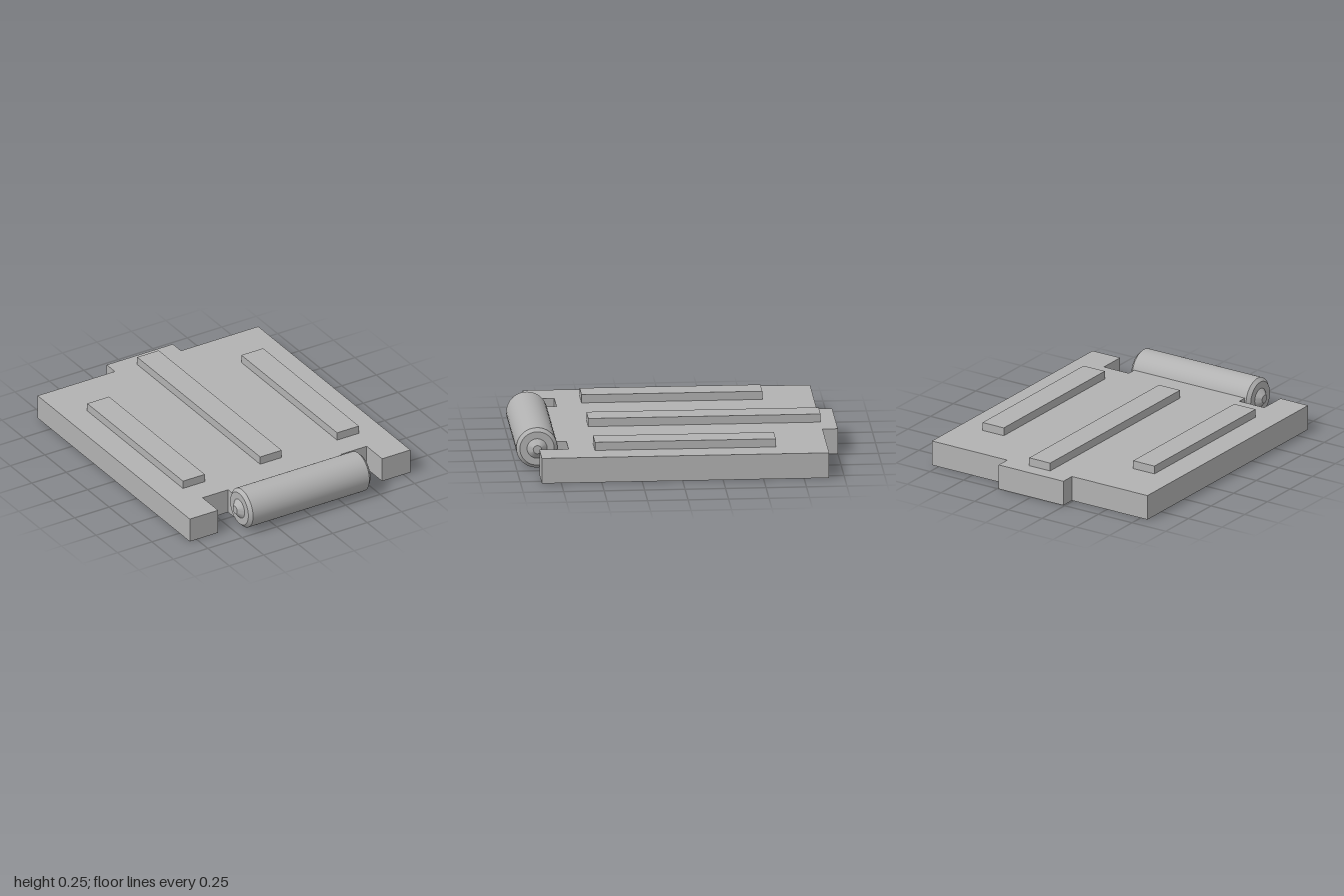
import * as THREE from 'three';
import { toCreasedNormals } from 'three/addons/utils/BufferGeometryUtils.js';

export function createModel() {
  const model = new THREE.Group();
  model.name = 'rollerPlate';
  const grey = new THREE.MeshStandardMaterial({ color: 0xb2b2b2 });
  grey.name = 'plain grey';

  const add = (name, geometry, x = 0, y = 0, z = 0) => {
    const mesh = new THREE.Mesh(geometry, grey);
    mesh.name = name;
    mesh.position.set(x, y, z);
    model.add(mesh);
    return mesh;
  };
  // Box given by its x, y and z limits
  const block = (name, [x0, x1], [y0, y1], [z0, z1]) =>
    add(name, new THREE.BoxGeometry(x1 - x0, y1 - y0, z1 - z0),
      (x0 + x1) / 2, (y0 + y1) / 2, (z0 + z1) / 2);

  // Plate outline: right half as [x, z], mirrored for the other half
  const thickness = 0.16;
  const half = [
    [0.24, -1], [0.24, -0.905], [0.8, -0.905], [0.8, 0.87],
    [0.595, 0.87], [0.595, 0.69], [0.41, 0.69], [0.41, 0.87],
  ];
  const outline = [...half, ...half.map(([x, z]) => [-x, z]).reverse()];
  const toPoints = (list) => list.map(([x, z]) => new THREE.Vector2(x, -z));
  const shape = new THREE.Shape(toPoints(outline));

  // Rectangular pocket in the underside, closed on top by a lid
  const px = 0.15, pz0 = -0.7, pz1 = -0.44, pocketDepth = 0.105;
  shape.holes.push(new THREE.Path(toPoints([[-px, pz0], [px, pz0], [px, pz1], [-px, pz1]])));
  const plate = new THREE.ExtrudeGeometry(shape, { depth: thickness, bevelEnabled: false });
  plate.rotateX(-Math.PI / 2);
  add('plate', plate);
  block('pocketLid', [-px, px], [pocketDepth, thickness], [pz0, pz1]);

  // Raised rails on top
  const railY = [thickness, 0.212];
  block('centreRail', [-0.078, 0.078], railY, [-0.905, 0.53]);
  block('leftRail', [0.48, 0.638], railY, [-0.587, 0.53]);
  block('rightRail', [-0.638, -0.48], railY, [-0.587, 0.53]);

  // Front roller with chamfered ends and tapered hubs: [radius, distance along axis]
  const end = [[0.127, 0.422], [0.106, 0.443], [0.062, 0.443], [0.026, 0.474], [0, 0.474]];
  const profile = [...end.map(([r, a]) => [r, -a]).reverse(), ...end]
    .map(([r, a]) => new THREE.Vector2(r, a));
  const roller = toCreasedNormals(new THREE.LatheGeometry(profile, 48), Math.PI / 6);
  roller.rotateZ(-Math.PI / 2);
  add('roller', roller, 0, 0.127, 0.873);

  return model;
}
